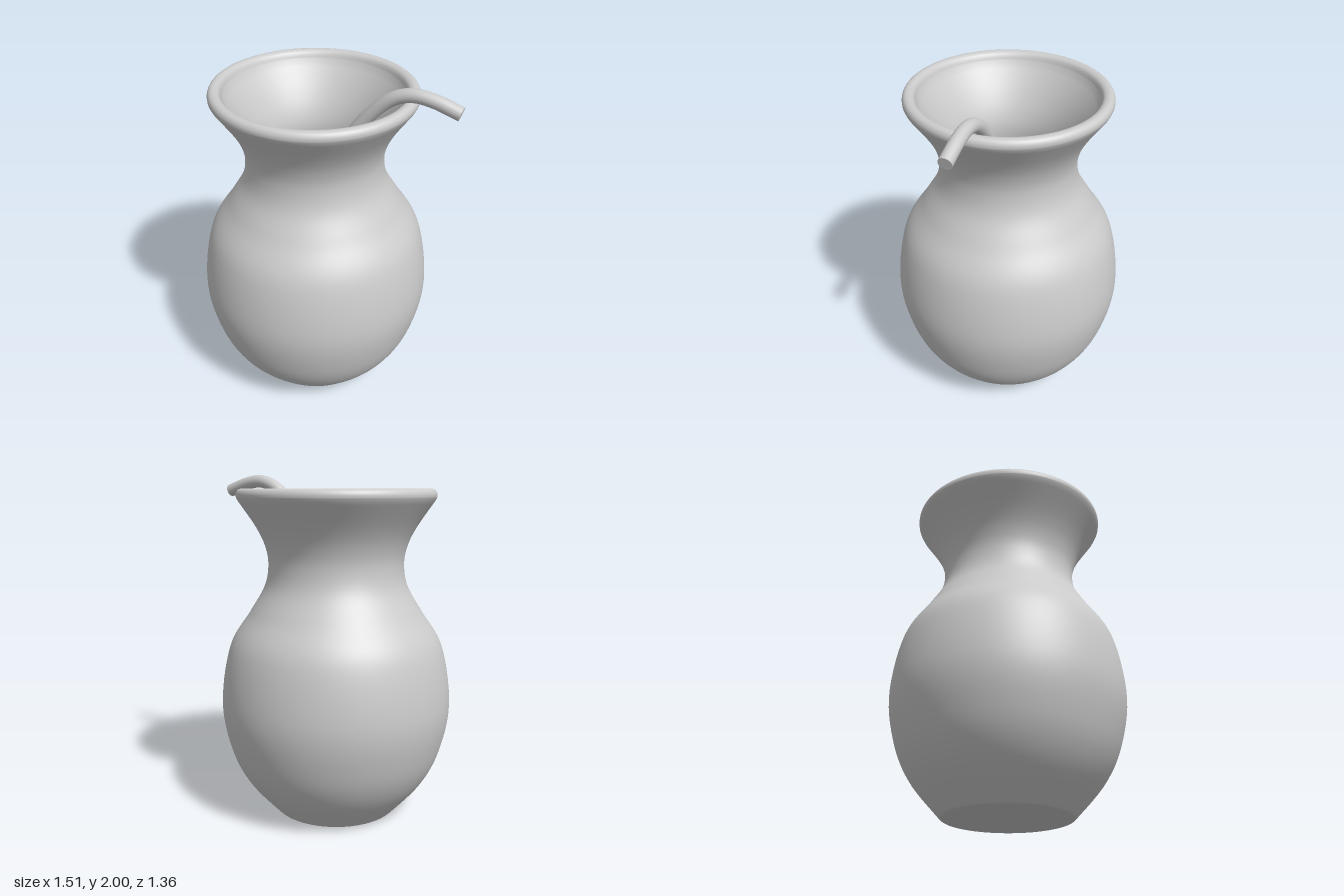
import * as THREE from 'three';

const material = new THREE.MeshStandardMaterial({ color: 0xcccccc });

function add(parent, name, geometry) {
  const mesh = new THREE.Mesh(geometry, material);
  mesh.name = name;
  parent.add(mesh);
  return mesh;
}

// Smooth curve through [radius, height] pairs
function spline(pairs, divisions) {
  return new THREE.SplineCurve(pairs.map(([r, y]) => new THREE.Vector2(r, y))).getPoints(divisions);
}

export function createModel() {
  const model = new THREE.Group();
  const gourd = new THREE.Group();
  gourd.name = 'gourdCup';
  gourd.position.x = -0.075;
  model.add(gourd);

  // Outer wall, rolled rim and inner wall in one continuous profile
  const outer = spline([
    [0.36, 0], [0.39, 0.025], [0.547, 0.21], [0.638, 0.41], [0.681, 0.68], [0.627, 1.01],
    [0.507, 1.21], [0.42, 1.36], [0.396, 1.49], [0.415, 1.6], [0.468, 1.71], [0.565, 1.852],
  ], 70);
  const rim = spline([
    [0.574, 1.87], [0.575, 1.89], [0.566, 1.909], [0.55, 1.918], [0.532, 1.918],
    [0.515, 1.91], [0.505, 1.895], [0.498, 1.875],
  ], 20);
  const inner = spline([
    [0.485, 1.85], [0.4, 1.72], [0.342, 1.6], [0.321, 1.49], [0.345, 1.36], [0.435, 1.2],
    [0.555, 1], [0.607, 0.68], [0.565, 0.42], [0.47, 0.22], [0.34, 0.08],
  ], 60);
  add(gourd, 'wall', new THREE.LatheGeometry([...outer, ...rim, ...inner], 96));

  // Flat underside and inside floor
  add(gourd, 'base', new THREE.CircleGeometry(0.36, 96)).rotation.x = Math.PI / 2;
  const floor = add(gourd, 'insideFloor', new THREE.CircleGeometry(0.34, 96));
  floor.rotation.x = -Math.PI / 2;
  floor.position.y = 0.08;

  // Straw: upright inside the cup, bending over the rim to the mouthpiece
  const straw = new THREE.Group();
  straw.name = 'straw';
  model.add(straw);
  const radius = 0.038;
  const path = new THREE.CatmullRomCurve3([
    [0.06, 0.09], [0.06, 0.7], [0.062, 1.3], [0.08, 1.49], [0.14, 1.65], [0.235, 1.79],
    [0.35, 1.905], [0.42, 1.945], [0.5, 1.962], [0.6, 1.95], [0.742, 1.907],
  ].map(([x, y]) => new THREE.Vector3(x, y, 0)));
  add(straw, 'strawTube', new THREE.TubeGeometry(path, 120, radius, 24));

  // Flat cap closing each end of the straw
  for (const t of [0, 1]) {
    const cap = add(straw, t ? 'mouthpieceCap' : 'lowerCap', new THREE.CircleGeometry(radius, 24));
    const direction = path.getTangentAt(t).multiplyScalar(t ? 1 : -1);
    cap.position.copy(path.getPointAt(t));
    cap.quaternion.setFromUnitVectors(new THREE.Vector3(0, 0, 1), direction);
  }
  return model;
}
